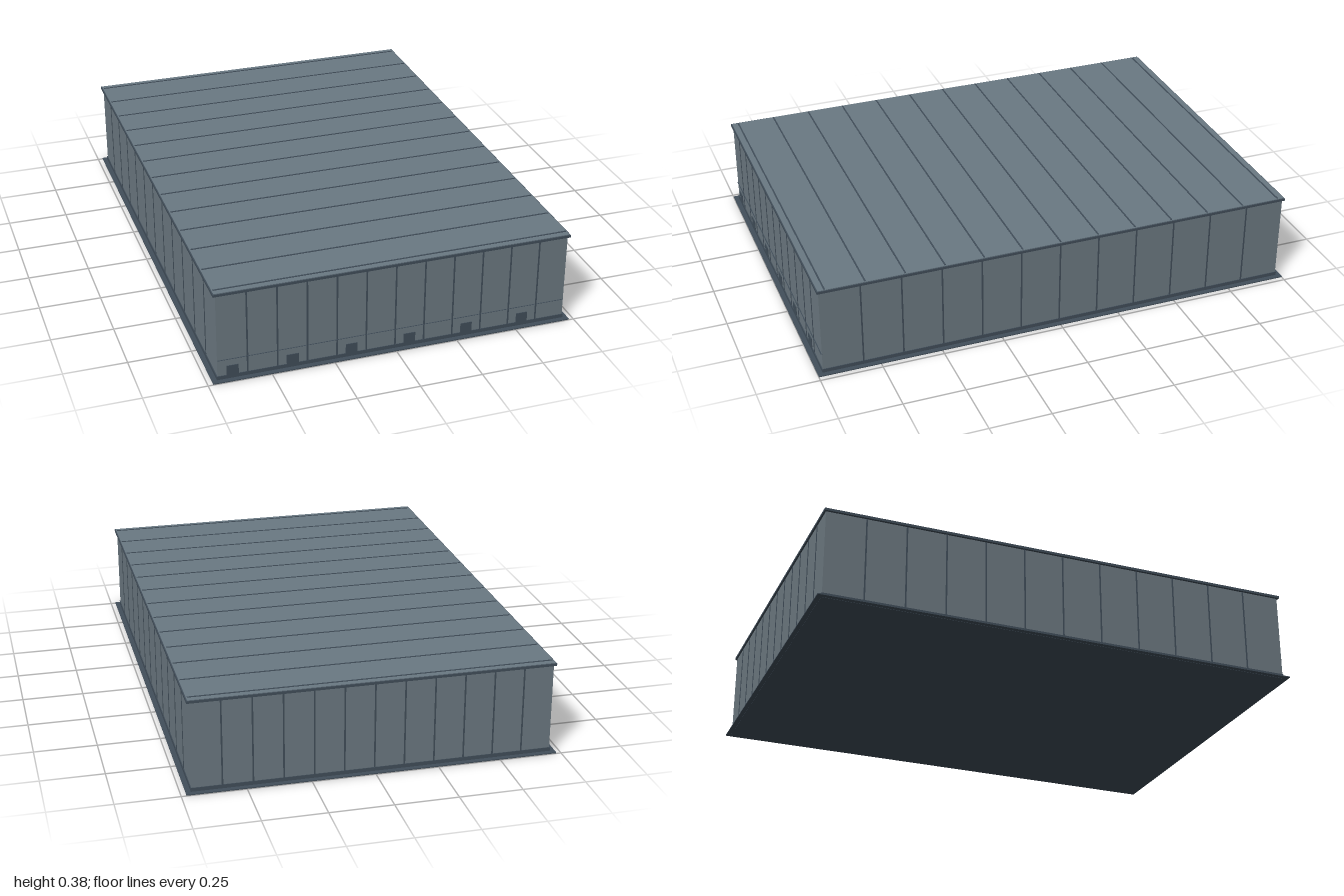
import * as THREE from 'three';

const wallMat = new THREE.MeshStandardMaterial({ name: 'wallGrey', color: 0x6e7b83 });
const roofMat = new THREE.MeshStandardMaterial({ name: 'roofGrey', color: 0x6a7983 });
const trimMat = new THREE.MeshStandardMaterial({ name: 'darkTrim', color: 0x424f5b });

const HX = 0.708, HZ = 0.978; // half width and half depth of the walls
const BASE = 0.02, EAVE = 0.368, PANELS = 12;

export function createModel() {
  const model = new THREE.Group();
  model.name = 'warehouse';

  // Box given by its centre in plan, its bottom and its top
  const box = (parent, name, mat, w, d, y0, y1, x = 0, z = 0) => {
    const mesh = new THREE.Mesh(new THREE.BoxGeometry(w, y1 - y0, d), mat);
    mesh.position.set(x, (y0 + y1) / 2, z);
    mesh.name = name;
    parent.add(mesh);
  };
  const group = (name) => {
    const g = new THREE.Group();
    g.name = name;
    model.add(g);
    return g;
  };

  // Ground plate, plinth and main body
  box(model, 'groundPlate', trimMat, 1.46, 2, 0.001, 0.005);
  box(model, 'plinth', trimMat, 2 * HX + 0.006, 2 * HZ + 0.006, 0, BASE);
  box(model, 'walls', wallMat, 2 * HX, 2 * HZ, BASE, EAVE);

  // Roof with a dark eave band and cross seams
  box(model, 'eaveBand', trimMat, 1.436, 1.97, EAVE, 0.378);
  box(model, 'roofSkin', roofMat, 1.428, 1.962, 0.378, 0.38);
  const roofSeams = group('roofSeams');
  for (let i = -6; i <= 6; i++) {
    box(roofSeams, 'roofSeam', trimMat, 1.42, 0.006, 0.379, 0.382, 0, i * 0.159);
  }

  // Panel seams on all four walls
  const wallSeams = group('wallSeams');
  for (let i = 1; i < PANELS; i++) {
    const t = (2 * i) / PANELS - 1;
    for (const s of [-1, 1]) {
      box(wallSeams, 'endSeam', trimMat, 0.006, 0.004, BASE, EAVE, t * HX, s * HZ);
      box(wallSeams, 'sideSeam', trimMat, 0.004, 0.006, BASE, EAVE, s * HX, t * HZ);
    }
  }

  // Loading bumpers in every second front panel, under a thin ledge
  const bumpers = group('loadingBumpers');
  for (let i = 0; i < PANELS; i += 2) {
    const x = ((2 * i + 1) / PANELS - 1) * HX;
    box(bumpers, 'bumper', trimMat, 0.047, 0.006, BASE, 0.06, x, HZ);
  }
  box(model, 'frontLedge', trimMat, 2 * HX, 0.008, 0.088, 0.089, 0, HZ);

  return model;
}
